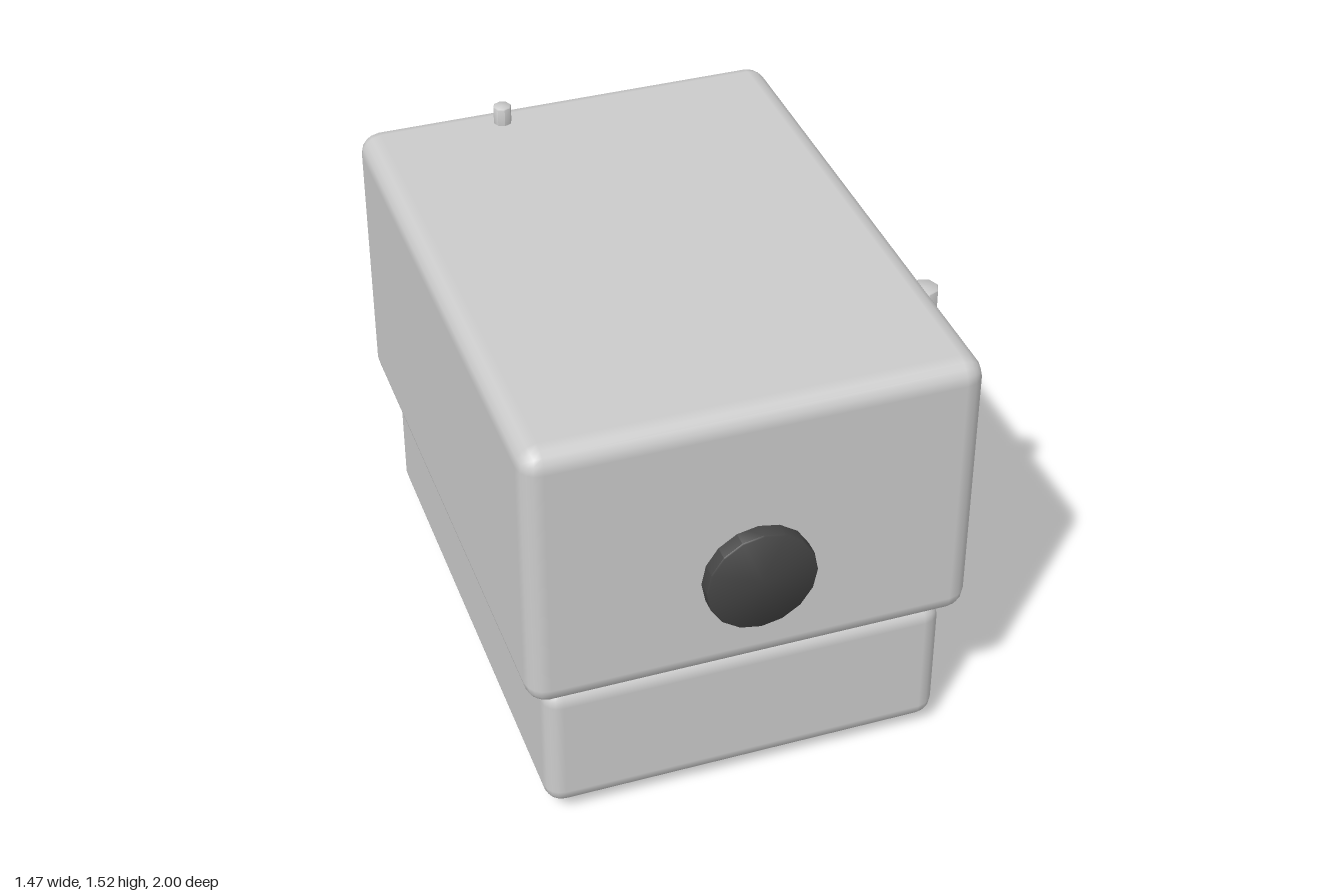
import * as THREE from 'three';
import { RoundedBoxGeometry } from 'three/addons/geometries/RoundedBoxGeometry.js';
import { toCreasedNormals } from 'three/addons/utils/BufferGeometryUtils.js';

const grey = new THREE.MeshStandardMaterial({ color: 0xcccccc });
const dark = new THREE.MeshStandardMaterial({ color: 0x444444 });

// Closed cylinder along y with a small bevel on both rims
function bevelledDisc(radius, height, bevel, sides) {
  const h = height / 2;
  const profile = [
    [0, -h], [radius - bevel, -h], [radius, -h + bevel],
    [radius, h - bevel], [radius - bevel, h], [0, h],
  ].map(([x, y]) => new THREE.Vector2(x, y));
  return toCreasedNormals(new THREE.LatheGeometry(profile, sides), 0.85);
}

export function createModel() {
  const group = new THREE.Group();

  const add = (name, geometry, position, material = grey) => {
    const mesh = new THREE.Mesh(geometry, material);
    mesh.name = name;
    mesh.position.set(...position);
    group.add(mesh);
    return mesh;
  };

  // Main housing resting on a slightly smaller base
  add('housing', new RoundedBoxGeometry(1.42, 0.945, 1.89, 2, 0.068), [-0.03, 0.9855, 0.005]);
  add('base', new RoundedBoxGeometry(1.30, 0.47, 1.78, 2, 0.06), [-0.03, 0.275, 0.01]);

  // Round discs on the front and back faces
  add('frontDisc', bevelledDisc(0.175, 0.1, 0.004, 16), [-0.03, 0.867, 0.95], dark).rotation.x = Math.PI / 2;
  add('backDisc', bevelledDisc(0.206, 0.12, 0.013, 32), [-0.03, 0.985, -0.94]).rotation.x = -Math.PI / 2;

  // Small pin on top, near the back
  add('topPin', bevelledDisc(0.03, 0.1, 0.003, 8), [-0.27, 1.47, -0.825]);

  // Two upright knobs half sunk into the left side
  add('tallSideKnob', bevelledDisc(0.045, 0.165, 0.003, 8), [0.678, 1.342, 0.478]);
  add('shortSideKnob', bevelledDisc(0.058, 0.07, 0.005, 6), [0.677, 1.225, -0.35]).rotation.y = Math.PI / 2;

  // Hexagonal foot under the base
  add('foot', bevelledDisc(0.056, 0.07, 0.007, 6), [-0.03, 0.035, 0.605]);

  return group;
}
